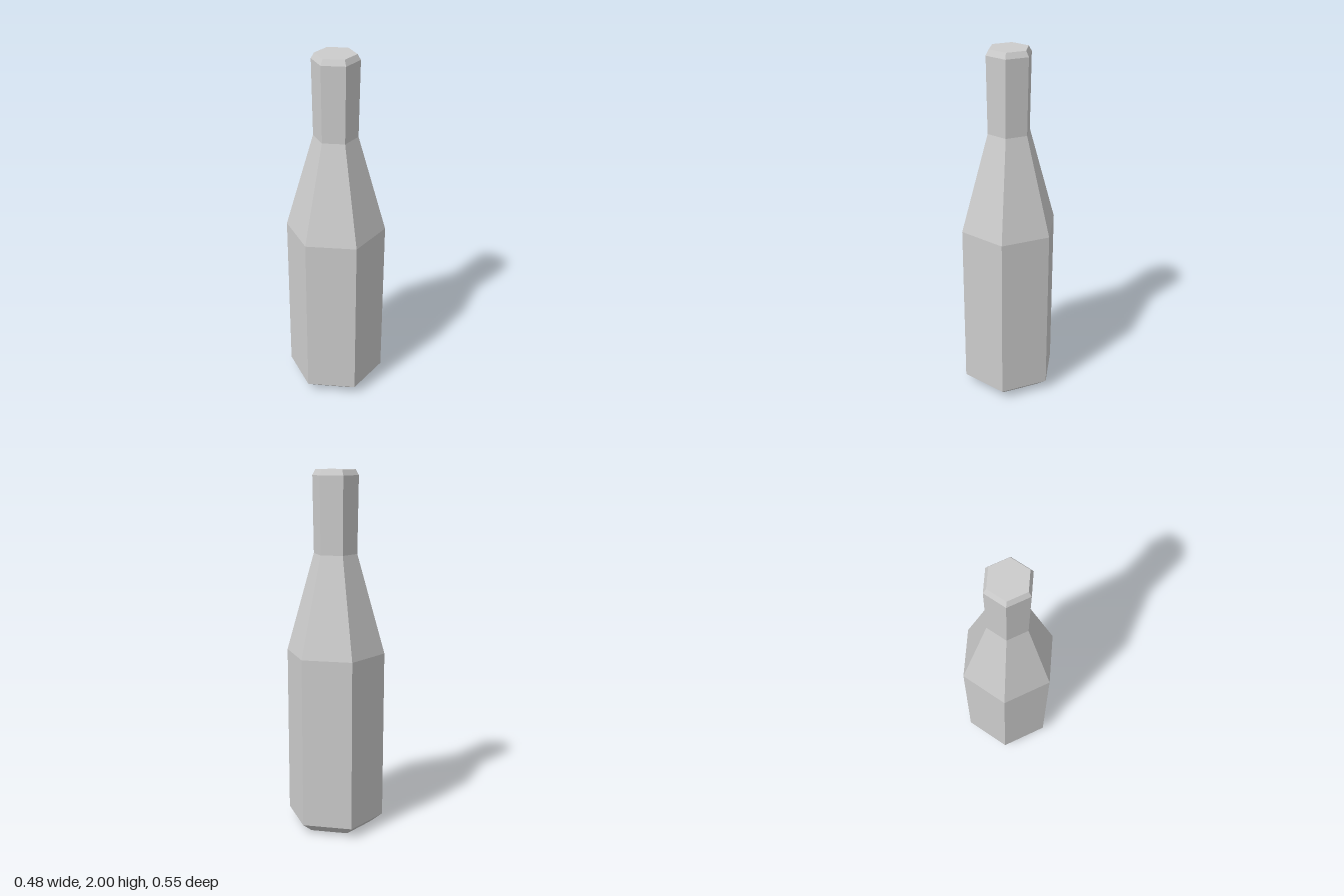
import * as THREE from 'three';

export function createModel() {
  const model = new THREE.Group();
  model.name = 'bottle';

  const glass = new THREE.MeshStandardMaterial({ color: 0xcccccc, flatShading: true });
  glass.name = 'pale grey';

  // Six-sided section turned from [radius, height] pairs, with a corner facing the front
  const addSection = (name, profile) => {
    const points = profile.map(([r, y]) => new THREE.Vector2(r, y));
    const mesh = new THREE.Mesh(new THREE.LatheGeometry(points, 6), glass);
    mesh.name = name;
    model.add(mesh);
  };

  // Flat base with bevelled foot, straight body
  addSection('body', [[0, 0], [0.205, 0], [0.275, 0.056], [0.275, 1.01]]);
  // Long tapering shoulder
  addSection('shoulder', [[0.275, 1.01], [0.12, 1.555]]);
  // Slightly flared neck with bevelled, closed top
  addSection('neck', [[0.12, 1.555], [0.126, 1.97], [0.109, 2], [0, 2]]);

  return model;
}
